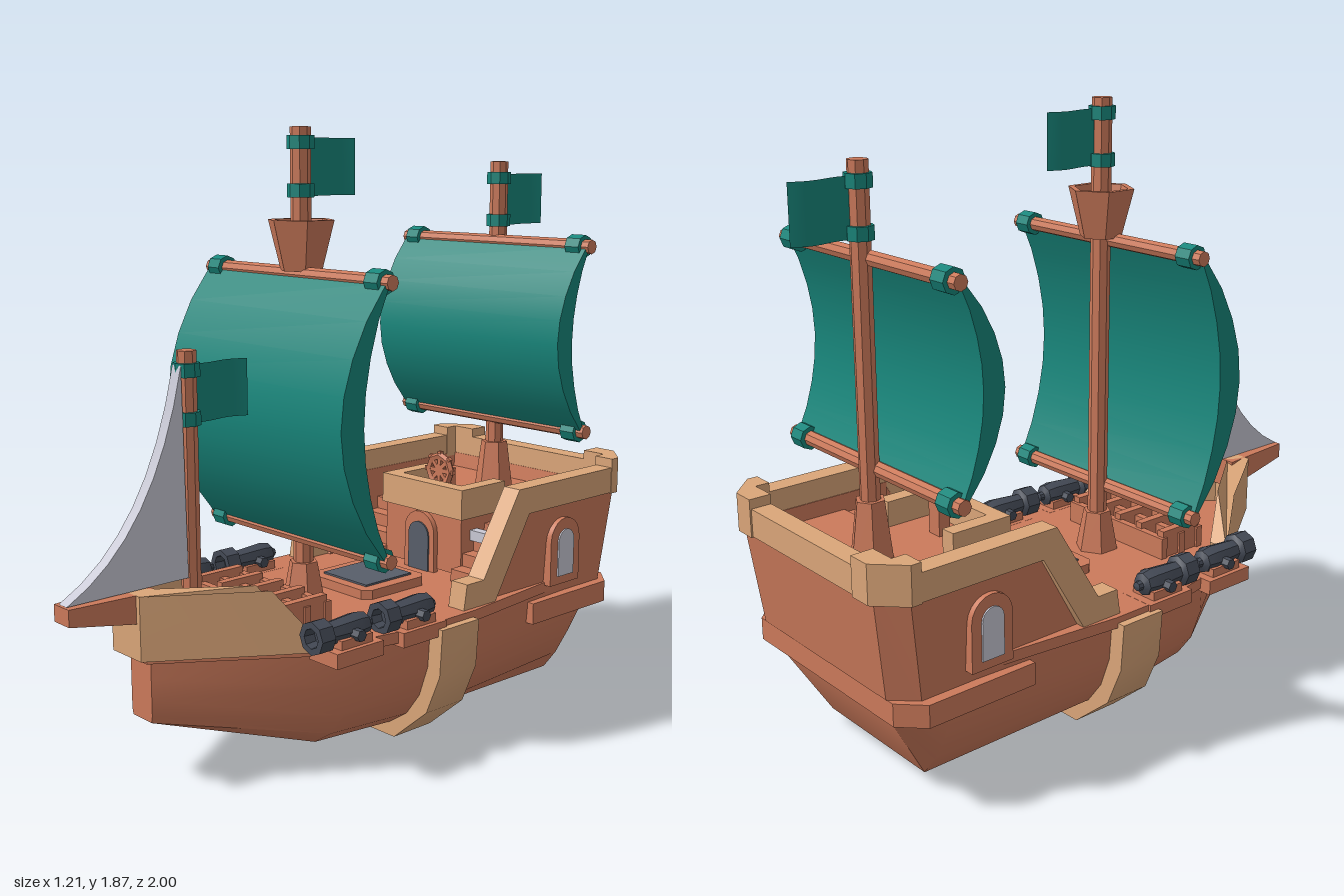
import * as THREE from 'three';
import { toCreasedNormals } from 'three/addons/utils/BufferGeometryUtils.js';
import { ParametricGeometry } from 'three/addons/geometries/ParametricGeometry.js';

const mat = (name, color, extra = {}) => {
  const m = new THREE.MeshStandardMaterial({ color, ...extra });
  m.name = name;
  return m;
};

export function createModel() {
  const wood = mat('wood', 0xcc7a5b);
  const trim = mat('paleWood', 0xdba679);
  const teal = mat('tealCloth', 0x18867b, { side: THREE.DoubleSide });
  const iron = mat('iron', 0x444a56);
  const slate = mat('slate', 0x585e6a);
  const grey = mat('paleGrey', 0xcacad6);

  const root = new THREE.Group();
  root.name = 'sailingShip';
  const ship = new THREE.Group();
  ship.name = 'ship';
  ship.rotation.y = -Math.PI / 10;
  ship.position.set(-0.053, 0, -0.017);
  root.add(ship);

  // every part keeps hard edges above about 32 degrees
  const add = (name, geo, m, parent = ship) => {
    const mesh = new THREE.Mesh(toCreasedNormals(geo, 0.56), m);
    mesh.name = name;
    parent.add(mesh);
    return mesh;
  };
  const box = (name, m, w, h, d, x, y, z, parent) =>
    add(name, new THREE.BoxGeometry(w, h, d).translate(x, y, z), m, parent);
  const cyl = (name, m, rt, rb, y0, y1, x, z, sides = 8) =>
    add(name, new THREE.CylinderGeometry(rt, rb, y1 - y0, sides).translate(x, (y0 + y1) / 2, z), m);
  const shapeOf = pts => new THREE.Shape(pts.map(p => new THREE.Vector2(...p)));
  const extrude = (shape, depth) => new THREE.ExtrudeGeometry(shape, { depth, bevelEnabled: false });
  // plan outline [x, z] raised from y0 to y1
  const plan = (pts, y0, y1) =>
    extrude(shapeOf(pts.map(([x, z]) => [x, -z])), y1 - y0).rotateX(-Math.PI / 2).translate(0, y0, 0);
  // side outline [-z, y] given a width along x
  const side = (pts, t) => extrude(shapeOf(pts), t).rotateY(Math.PI / 2);
  // half outline mirrored to both sides
  const both = half => [...half, ...half.map(([x, z]) => [-x, z]).reverse()];
  const move = (geo, fn) => {
    const p = geo.attributes.position, v = new THREE.Vector3();
    for (let i = 0; i < p.count; i++) { fn(v.fromBufferAttribute(p, i)); p.setXYZ(i, v.x, v.y, v.z); }
    return geo;
  };
  // stern walls draw in toward their foot
  const lean = geo => move(geo, v => {
    const t = (0.68 - v.y) / 0.31;
    v.x *= 1 - 0.05 * t;
    if (v.z < -0.7) v.z += 0.04 * t;
  });

  // lower hull lofted through cross-sections, bow to stern
  const sections = [
    [0.8, [0.05, 0.41], [0.05, 0.33], [0.05, 0.27], [0.05, 0.22], [0.045, 0.2]],
    [0.31, [0.36, 0.41], [0.355, 0.27], [0.32, 0.17], [0.265, 0.095], [0.19, 0.045]],
    [0.04, [0.405, 0.41], [0.395, 0.27], [0.36, 0.17], [0.305, 0.095], [0.23, 0.045]],
    [-0.13, [0.405, 0.41], [0.395, 0.27], [0.36, 0.17], [0.305, 0.095], [0.23, 0.045]],
    [-0.7, [0.38, 0.41], [0.37, 0.3], [0.34, 0.2], [0.29, 0.11], [0.24, 0.045]],
    [-0.84, [0.33, 0.41], [0.325, 0.34], [0.315, 0.31], [0.3, 0.29], [0.285, 0.28]]
  ];
  const verts = [], index = [], n = 10;
  for (const [z, ...half] of sections) for (const [x, y] of both(half)) verts.push(x, y, z);
  for (let s = 0; s < sections.length - 1; s++)
    for (let i = 0; i < n; i++) {
      const a = s * n + i, b = s * n + (i + 1) % n;
      index.push(a, b, a + n, b, b + n, a + n);
    }
  const end = (sections.length - 1) * n;
  for (let i = 1; i < n - 1; i++) index.push(0, i + 1, i, end, end + i, end + i + 1);
  const hull = new THREE.BufferGeometry();
  hull.setAttribute('position', new THREE.Float32BufferAttribute(verts, 3));
  hull.setIndex(index);
  // orient the faces outward by testing one side panel
  hull.computeVertexNormals();
  if (hull.attributes.normal.getX(2 * n + 1) < 0) hull.setIndex(index.reverse());
  add('lowerHull', hull, wood);

  add('mainDeck', plan(both([[0.38, -0.6], [0.43, -0.13], [0.43, 0.1], [0.39, 0.31], [0.32, 0.45], [0.06, 0.82]]), 0.385, 0.42), wood);
  add('hullBand', extrude(shapeOf([...both([[0.455, 0.4], [0.445, 0.25], [0.39, 0.12], [0.25, 0]]),
    ...both([[0.4, 0.4], [0.385, 0.26], [0.325, 0.13], [0.225, 0.046]]).reverse()]), 0.16).translate(0, 0, -0.125), trim);

  // bow rail dropping toward the deck at its rear ends
  add('bowRail', move(plan([...both([[0.34, 0.44], [0.275, 0.54], [0.07, 0.845]]),
    ...both([[0.27, 0.44], [0.205, 0.54], [0.025, 0.785]]).reverse()], 0.4, 0.59),
  v => { if (v.y > 0.5 && v.z < 0.5) v.y = 0.45; }), trim);
  add('bowsprit', move(new THREE.BoxGeometry(0.12, 0.095, 0.28).translate(0, 0.5425, 0.91), v => {
    if (v.z > 1) { v.x *= 0.62; if (v.y < 0.55) v.y = 0.54; }
  }), wood);

  // raised stern
  const uShape = (w, front, back, t, c = 0.08) => [
    ...both([[w, front], [w, back + c], [w - c, back]]),
    ...both([[w - t, front], [w - t, back + t]]).reverse()];
  add('sternWall', lean(plan(uShape(0.4, -0.4, -0.912, 0.055, 0.07), 0.37, 0.69)), wood);
  add('quarterDeck', lean(plan(both([[0.37, -0.56], [0.37, -0.83], [0.33, -0.88]]), 0.38, 0.64)), wood);
  add('sternLedge', plan(uShape(0.412, -0.43, -0.87, 0.09, 0.07), 0.3, 0.37), wood);
  add('sternRail', plan(uShape(0.413, -0.4, -0.925, 0.065), 0.675, 0.76), trim);
  const railSide = [[0.1, 0.41], [0.24, 0.41], [0.4, 0.675], [0.4, 0.76], [0.35, 0.76], [0.19, 0.5], [0.115, 0.5]];
  const wallSide = [[0.15, 0.38], [0.42, 0.38], [0.42, 0.69], [0.39, 0.69], [0.22, 0.42], [0.15, 0.42]];

  const arch = (w, h, t) => {
    const s = new THREE.Shape();
    s.moveTo(-w, 0); s.lineTo(w, 0); s.lineTo(w, h - w);
    s.absarc(0, h - w, w, 0, Math.PI, false);
    return new THREE.ExtrudeGeometry(s, { depth: t, bevelEnabled: false, curveSegments: 5 });
  };

  for (const s of [-1, 1]) {
    add('sideRailSlope', side(railSide, 0.065).translate(s * 0.3805 - 0.0325, 0, 0), trim);
    add('sideWall', lean(side(wallSide, 0.05).translate(s * 0.375 - 0.025, 0, 0)), wood);
    add('railCorner', plan([[0.415, -0.815], [0.415, -0.848], [0.333, -0.93], [0.26, -0.93], [0.26, -0.86],
      [0.345, -0.86], [0.345, -0.815]].map(([x, z]) => [s * x, z]), 0.672, 0.79), trim);

    // arched side window
    const win = new THREE.Group();
    win.name = 'sideWindow';
    win.position.set(s * 0.378, 0.41, -0.583);
    win.rotation.y = s * Math.PI / 2;
    ship.add(win);
    add('windowFrame', arch(0.072, 0.22, 0.035), wood, win);
    add('windowPane', arch(0.038, 0.155, 0.006).translate(0, 0.028, 0.034), grey, win);

    // stairs up to the quarterdeck
    for (let i = 0; i < 5; i++) {
      const h = 0.042 * (i + 1);
      box('stair', wood, 0.175, h, 0.058, s * 0.26, 0.42 + h / 2, -0.325 - i * 0.052);
    }
    // two forward-pointing guns on side platforms
    for (const z of [0.36, 0.1]) {
      const gun = new THREE.Group();
      gun.name = 'cannon';
      gun.position.set(s * 0.378, 0, z);
      ship.add(gun);
      box('gunPlatform', wood, 0.12, 0.045, 0.18, 0, 0.398, -0.01, gun);
      box('carriage', wood, 0.09, 0.035, 0.12, 0, 0.43, -0.01, gun);
      const barrel = [[0, -0.105], [0.014, -0.1], [0.016, -0.085], [0.036, -0.075], [0.042, -0.04], [0.034, 0.065],
        [0.05, 0.075], [0.05, 0.125], [0.03, 0.125], [0.026, 0.09], [0, 0.09]];
      add('barrel', new THREE.LatheGeometry(barrel.map(p => new THREE.Vector2(...p)), 8)
        .rotateX(Math.PI / 2).translate(0, 0.462, 0), iron, gun);
      add('trunnion', new THREE.CylinderGeometry(0.018, 0.018, 0.13, 6).rotateZ(Math.PI / 2).translate(0, 0.455, -0.01), iron, gun);
    }
  }
  box('cabinFront', wood, 0.35, 0.21, 0.23, 0, 0.535, -0.455);
  add('doorFrame', arch(0.068, 0.2, 0.02).translate(0, 0.42, -0.342), wood);
  add('door', arch(0.046, 0.165, 0.006).translate(0, 0.42, -0.323), slate);
  add('balconyRail', plan([[0.185, -0.54], [0.185, -0.33], [-0.185, -0.33], [-0.185, -0.54],
    [-0.135, -0.54], [-0.135, -0.38], [0.135, -0.38], [0.135, -0.54]], 0.62, 0.72), trim);
  box('foldedCloth', grey, 0.1, 0.035, 0.035, 0.225, 0.56, -0.4);
  // steering wheel
  box('wheelStand', wood, 0.05, 0.12, 0.04, 0, 0.69, -0.45);
  add('wheelRim', new THREE.TorusGeometry(0.05, 0.013, 5, 8).translate(0, 0.745, -0.42), wood);
  for (let i = 0; i < 4; i++)
    add('wheelSpoke', new THREE.BoxGeometry(0.13, 0.014, 0.014).rotateZ(i * Math.PI / 4).translate(0, 0.745, -0.42), wood);

  // deck hatch and bow stowage frames
  add('hatchFrame', plan(both([[0.115, 0.05], [0.14, 0.025], [0.14, -0.195], [0.115, -0.22]]), 0.41, 0.45), wood);
  box('hatchCover', slate, 0.2, 0.008, 0.2, 0, 0.452, -0.085);
  for (let i = -2; i <= 2; i++) box('stowageDivider', wood, 0.026, 0.09, 0.16, i * 0.1, 0.465, 0.36);
  for (const z of [0.28, 0.36, 0.44]) box('stowageBeam', wood, 0.44, 0.07, 0.024, 0, 0.455, z);

  // masts with ringed flags
  const mast = (name, z, y0, top, r, flagY) => {
    cyl(name, wood, r, r, y0, top, 0, z);
    for (const y of [flagY, flagY + 0.14]) cyl('mastRing', teal, r + 0.01, r + 0.01, y - 0.02, y + 0.02, 0, z);
    add('flag', new ParametricGeometry((a, b, t) => t.set(Math.sin(a * 7) * 0.014 * a,
      flagY - 0.017 + 0.17 * b, z - 0.21 * a), 10, 1), teal);
  };
  mast('mainMast', 0.187, 0.4, 1.87, 0.031, 1.685);
  mast('rearMast', -0.69, 0.6, 1.765, 0.03, 1.57);
  mast('frontMast', 0.616, 0.4, 1.25, 0.029, 1.055);
  cyl('mainMastBase', wood, 0.045, 0.07, 0.42, 0.55, 0, 0.187, 6);
  cyl('rearMastBase', wood, 0.045, 0.07, 0.62, 0.81, 0, -0.69, 6);
  add('crowsNest', new THREE.LatheGeometry([[0, 1.45], [0.066, 1.45], [0.105, 1.6], [0.085, 1.6], [0.06, 1.49], [0, 1.49]]
    .map(p => new THREE.Vector2(...p)), 6).translate(0, 0, 0.187), wood);

  // square sails between two yards, with a crescent section thickest at mid height
  const sail = (z, low, high, front, back) => {
    for (const y of [low, high]) {
      add('yard', new THREE.CylinderGeometry(0.023, 0.023, 0.83, 8).rotateZ(Math.PI / 2).translate(0, y, z), wood);
      for (const s of [-1, 1])
        add('yardRing', new THREE.CylinderGeometry(0.037, 0.037, 0.055, 8).rotateZ(Math.PI / 2).translate(s * 0.36, y, z), teal);
    }
    const edge = (depth, offset) => Array.from({ length: 9 }, (_, i) =>
      [-(z + offset + depth * Math.pow(Math.sin(Math.PI * i / 8), 0.85)), low + (high - low) * i / 8]);
    add('squareSail', side([...edge(front, 0.015), ...edge(back, 0).reverse()], 0.81).translate(-0.405, 0, 0), teal);
  };
  sail(0.208, 0.635, 1.44, 0.172, 0.1);
  sail(-0.672, 0.9, 1.5, 0.132, 0.075);

  // triangular foresail with a hollow leading edge
  const luff = new THREE.QuadraticBezierCurve(new THREE.Vector2(-0.65, 1.21), new THREE.Vector2(-0.75, 0.74), new THREE.Vector2(-1.045, 0.592));
  add('foresail', side([...luff.getPoints(8).map(p => [p.x, p.y]), [-0.64, 0.592]], 0.04).translate(-0.02, 0, 0), grey);

  return root;
}
